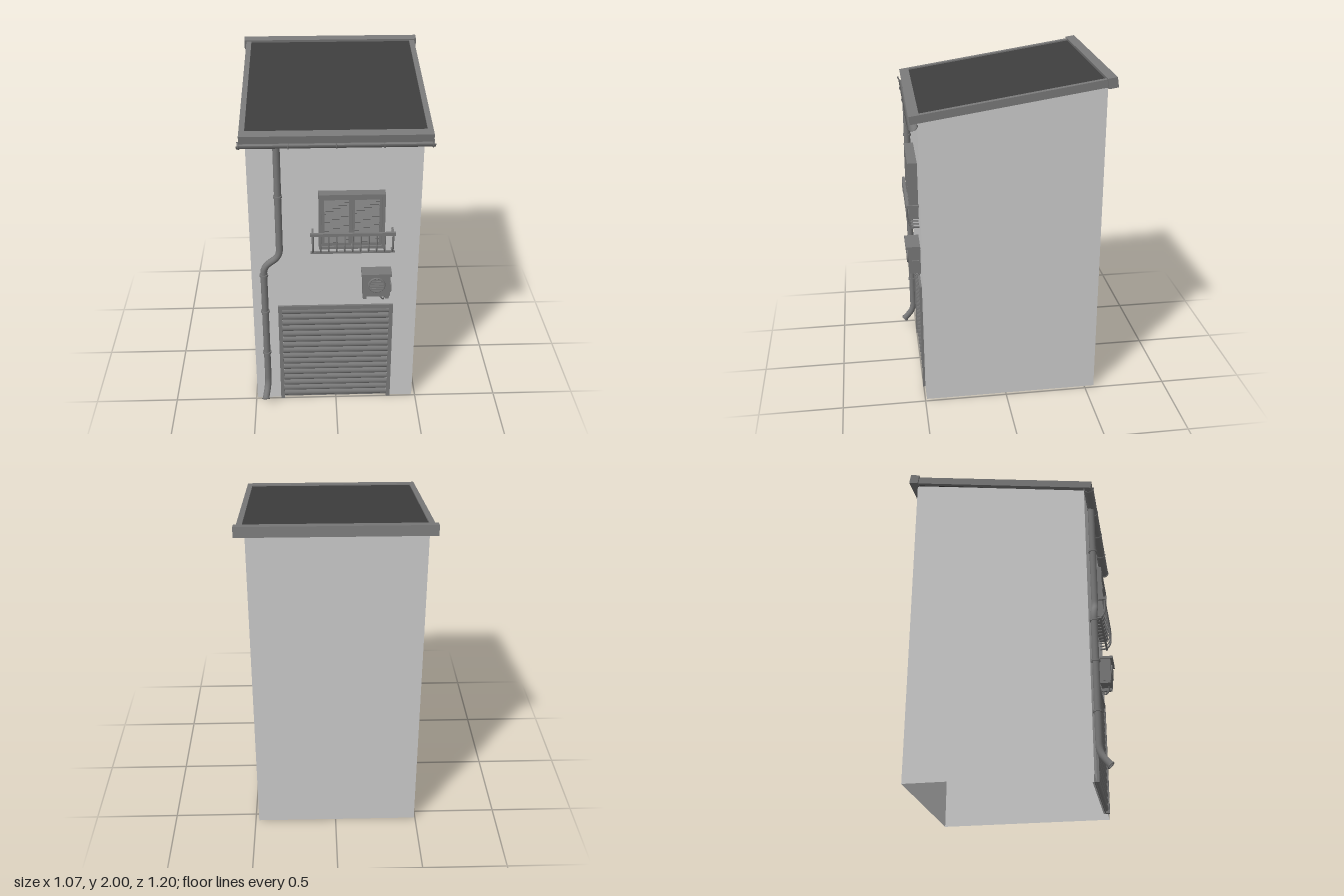
import * as THREE from 'three';

const wallMat = new THREE.MeshStandardMaterial({ color: 0xcccccc, side: THREE.DoubleSide });
wallMat.name = 'wall light grey';
const trimMat = new THREE.MeshStandardMaterial({ color: 0x797979, side: THREE.DoubleSide });
trimMat.name = 'trim grey';
const roofMat = new THREE.MeshStandardMaterial({ color: 0x3e3e3e });
roofMat.name = 'roof dark grey';

const V = (x, y, z) => new THREE.Vector3(x, y, z);

function add(parent, name, geometry, material = trimMat) {
  const mesh = new THREE.Mesh(geometry, material);
  mesh.name = name;
  parent.add(mesh);
  return mesh;
}

// Box given by its minimum and maximum corners
function box(parent, name, [x0, y0, z0], [x1, y1, z1], material) {
  const mesh = add(parent, name, new THREE.BoxGeometry(x1 - x0, y1 - y0, z1 - z0), material);
  mesh.position.set((x0 + x1) / 2, (y0 + y1) / 2, (z0 + z1) / 2);
  return mesh;
}

function tube(parent, name, points, radius, segments, sides) {
  const curve = new THREE.CatmullRomCurve3(points);
  return add(parent, name, new THREE.TubeGeometry(curve, segments, radius, sides));
}

// Straight runs joined by rounded corners of a given reach
function bentPath(points, reach) {
  const path = new THREE.CurvePath();
  let from = points[0];
  for (let i = 1; i < points.length - 1; i++) {
    const p = points[i];
    const a = p.clone().add(points[i - 1].clone().sub(p).setLength(reach));
    const b = p.clone().add(points[i + 1].clone().sub(p).setLength(reach));
    path.add(new THREE.LineCurve3(from, a));
    path.add(new THREE.QuadraticBezierCurve3(a, p, b));
    from = b;
  }
  path.add(new THREE.LineCurve3(from, points[points.length - 1]));
  return path;
}

function group(parent, name) {
  const g = new THREE.Group();
  g.name = name;
  parent.add(g);
  return g;
}

const shape = pts => new THREE.Shape(pts.map(p => new THREE.Vector2(...p)));

function buildWalls(root) {
  const g = group(root, 'walls');
  const [L, R, F, B, yF, yB] = [-0.493, 0.479, 0.49, -0.559, 1.785, 1.945];
  // front wall with the garage opening cut out
  const front = shape([[L, 0], [-0.32, 0], [-0.32, 0.675], [0.315, 0.675], [0.315, 0], [R, 0], [R, yF], [L, yF]]);
  add(g, 'frontWall', new THREE.ShapeGeometry(front).translate(0, 0, F), wallMat);
  const back = shape([[-R, 0], [-L, 0], [-L, yB], [-R, yB]]);
  add(g, 'backWall', new THREE.ShapeGeometry(back).rotateY(Math.PI).translate(0, 0, B), wallMat);
  const right = shape([[B, 0], [F, 0], [F, yF], [B, yB]]);
  add(g, 'rightWall', new THREE.ShapeGeometry(right).rotateY(-Math.PI / 2).translate(L, 0, 0), wallMat);
  const left = shape([[-F, 0], [-B, 0], [-B, yB], [-F, yF]]);
  add(g, 'leftWall', new THREE.ShapeGeometry(left).rotateY(Math.PI / 2).translate(R, 0, 0), wallMat);
  // inner lining closing the garage opening
  box(g, 'doorLining', [-0.345, 0, 0.466], [0.34, 0.7, 0.474], wallMat);
}

function buildRoof(root) {
  const g = group(root, 'roof');
  g.position.y = 1.902;
  g.rotation.x = 0.151;
  box(g, 'roofPanel', [-0.5, -0.045, -0.55], [0.5, -0.008, 0.5], roofMat);
  for (const s of [-1, 1])
    box(g, 'sideTrim', [s < 0 ? -0.524 : 0.493, -0.045, -0.55], [s < 0 ? -0.493 : 0.524, 0, 0.546]);
  box(g, 'eaveTrim', [-0.493, -0.045, 0.488], [0.493, 0, 0.546]);
  box(g, 'ridgeTrim', [-0.537, -0.051, -0.602], [0.537, 0.007, -0.547]);
}

function buildGutter(root) {
  const g = group(root, 'gutter');
  // half pipe, open side on top
  const half = new THREE.CylinderGeometry(0.028, 0.028, 1.07, 12, 1, true, Math.PI / 2, Math.PI);
  half.rotateZ(Math.PI / 2).rotateX(-Math.PI / 2);
  add(g, 'gutterTrough', half).position.set(-0.002, 1.772, 0.522);
  for (const x of [-0.525, -0.26, 0, 0.26, 0.52]) {
    const hook = add(g, 'gutterBracket',
      new THREE.TorusGeometry(0.029, 0.004, 6, 12, Math.PI).rotateZ(Math.PI).rotateY(Math.PI / 2));
    hook.position.set(x, 1.772, 0.522);
  }
}

function buildDownpipe(root) {
  const g = group(root, 'downpipe');
  const z = 0.515;
  const path = bentPath([V(-0.325, 1.75, z), V(-0.325, 1.06, z), V(-0.42, 0.99, z),
    V(-0.42, 0.14, z), V(-0.437, 0.06, 0.575)], 0.045);
  add(g, 'pipe', new THREE.TubeGeometry(path, 120, 0.02, 12));
  for (const [x, y] of [[-0.325, 1.448], [-0.42, 0.934], [-0.42, 0.68], [-0.42, 0.377]])
    add(g, 'pipeCollar', new THREE.CylinderGeometry(0.026, 0.026, 0.012, 14)).position.set(x, y, z);
  const lip = add(g, 'spoutLip', new THREE.TorusGeometry(0.021, 0.004, 6, 14));
  lip.position.set(-0.437, 0.06, 0.575);
  lip.rotation.x = 0.8;
}

function buildGarageDoor(root) {
  const g = group(root, 'garageDoor');
  box(g, 'doorBacking', [-0.325, 0, 0.475], [0.32, 0.68, 0.482]);
  // rounded roller slats
  const count = 16, pitch = 0.665 / count;
  for (let i = 0; i < count; i++) {
    const slat = new THREE.CylinderGeometry(pitch * 0.47, pitch * 0.47, 0.639, 12).rotateZ(Math.PI / 2);
    add(g, 'doorSlat', slat.scale(1, 1, 0.75)).position.set(-0.0025, 0.01 + (i + 0.5) * pitch, 0.483);
  }
  box(g, 'doorLintel', [-0.345, 0.675, 0.475], [0.34, 0.7, 0.504]);
  box(g, 'doorJamb', [-0.345, 0, 0.475], [-0.322, 0.675, 0.504]);
  box(g, 'doorJamb', [0.317, 0, 0.475], [0.34, 0.675, 0.504]);
}

function buildWindow(root) {
  const g = group(root, 'window');
  const [x0, x1, y0, y1] = [-0.1, 0.273, 1.12, 1.467];
  box(g, 'windowBacking', [x0, y0, 0.485], [x1, y1, 0.515]);
  box(g, 'frameTop', [x0, y1 - 0.016, 0.485], [x1, y1, 0.546]);
  box(g, 'frameSill', [x0, y0, 0.485], [x1, y0 + 0.016, 0.546]);
  for (const x of [x0, x1 - 0.016]) box(g, 'frameSide', [x, y0, 0.485], [x + 0.016, y1, 0.546]);
  // pair of louvred shutters
  for (const x of [-0.082, 0.089]) {
    const w = 0.166, b = 0.014;
    for (const sx of [x, x + w - b]) box(g, 'shutterStile', [sx, y0 + 0.018, 0.51], [sx + b, y1 - 0.018, 0.538]);
    for (const sy of [y0 + 0.018, y1 - 0.036]) box(g, 'shutterRail', [x, sy, 0.51], [x + w, sy + 0.018, 0.538]);
    const count = 15, low = y0 + 0.036, pitch = (y1 - y0 - 0.072) / count;
    for (let i = 0; i < count; i++) {
      const slat = add(g, 'shutterSlat', new THREE.BoxGeometry(w - 2 * b, 0.02, 0.005));
      slat.position.set(x + w / 2, low + (i + 0.5) * pitch, 0.526);
      slat.rotation.x = -0.65;
    }
  }
}

function buildBalcony(root) {
  const g = group(root, 'balconyRailing');
  box(g, 'handrail', [-0.148, 1.212, 0.548], [0.334, 1.23, 0.564]);
  box(g, 'lowerRail', [-0.148, 1.084, 0.525], [0.334, 1.096, 0.537]);
  const count = 11;
  for (let i = 0; i < count; i++) {
    const end = i === 0 || i === count - 1;
    const x = -0.134 + (0.454 * i) / (count - 1);
    tube(g, 'baluster', [V(x, 1.22, 0.558), V(x, 1.16, 0.56), V(x, 1.12, 0.553), V(x, 1.094, 0.53), V(x, 1.09, 0.488)],
      end ? 0.006 : 0.004, 14, 6);
    if (end) box(g, 'wallStay', [x - 0.006, 1.214, 0.488], [x + 0.006, 1.226, 0.556]);
  }
}

function buildAirConditioner(root) {
  const g = group(root, 'airConditioner');
  box(g, 'unitBody', [0.153, 0.8, 0.488], [0.312, 0.948, 0.56]);
  box(g, 'unitLid', [0.145, 0.945, 0.488], [0.32, 0.961, 0.576]);
  for (const x of [0.155, 0.285]) box(g, 'mountBracket', [x, 0.782, 0.488], [x + 0.022, 0.8, 0.556]);
  box(g, 'valveBox', [0.312, 0.815, 0.5], [0.322, 0.87, 0.54]);
  // round fan guard with bars
  const [cx, cy, r] = [0.233, 0.88, 0.046];
  add(g, 'fanRing', new THREE.TorusGeometry(r, 0.006, 8, 24)).position.set(cx, cy, 0.563);
  for (let i = -3; i <= 3; i++) {
    const h = Math.sqrt(r ** 2 - (i * 0.012) ** 2);
    box(g, 'fanBar', [cx - h, cy + i * 0.012 - 0.004, 0.558], [cx + h, cy + i * 0.012 + 0.004, 0.569]);
  }
  // hoses hanging below
  for (const [dx, low] of [[0, 0.755], [0.012, 0.77]])
    tube(g, 'hose', [V(0.25 + dx, 0.8, 0.54), V(0.268 + dx, low + 0.015, 0.535), V(0.28 + dx, low, 0.515),
      V(0.29 + dx, low + 0.02, 0.488)], 0.004, 16, 6);
}

export function createModel() {
  const root = new THREE.Group();
  root.name = 'townhouse';
  for (const build of [buildWalls, buildRoof, buildGutter, buildDownpipe, buildGarageDoor, buildWindow,
    buildBalcony, buildAirConditioner]) build(root);
  return root;
}
